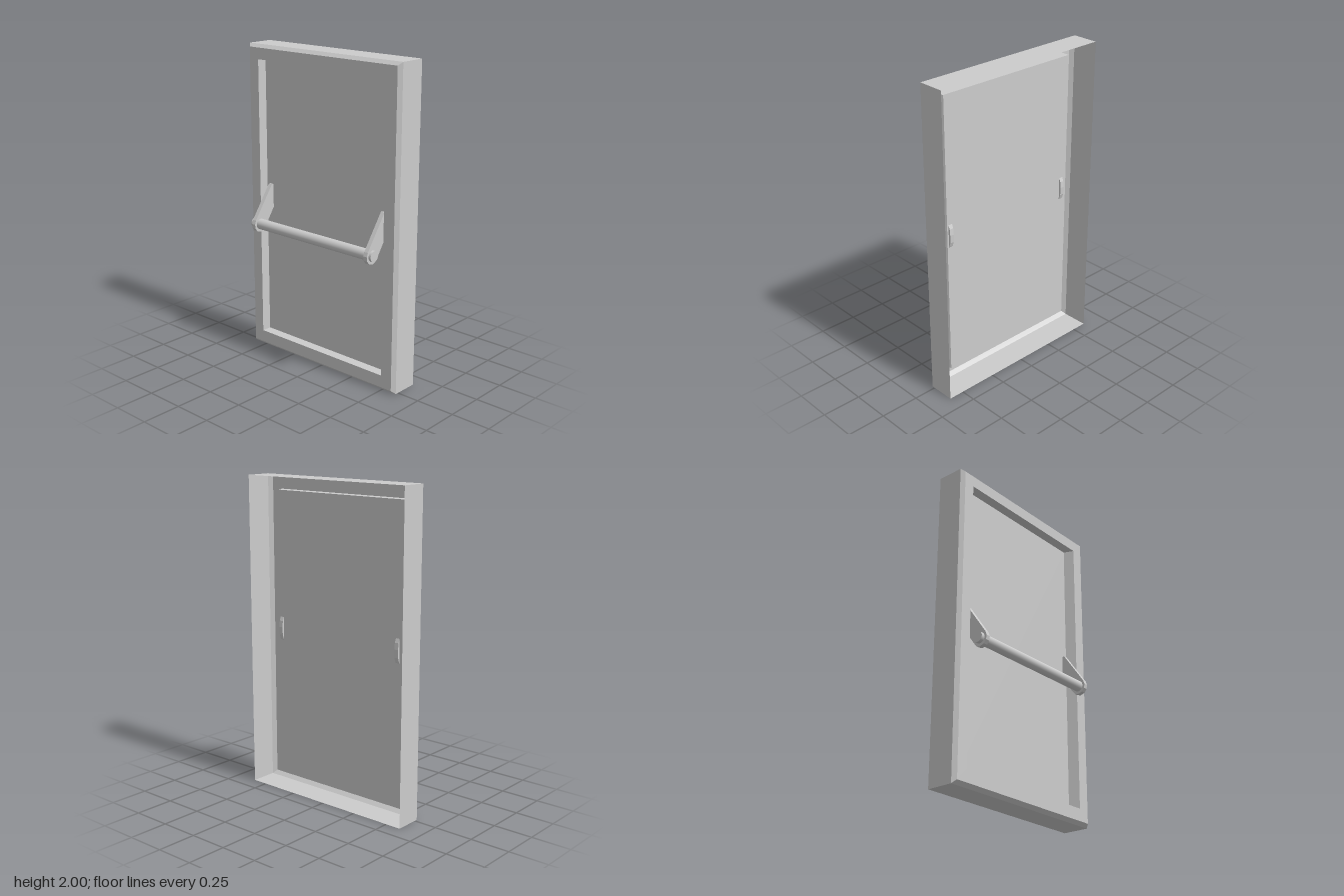
import * as THREE from 'three';

// Skin a list of rectangular loops [x0, x1, y0, y1, z] and cap the last one
function skinRectangles(rects) {
  const loops = rects.map(([x0, x1, y0, y1, z]) =>
    [[x0, y0, z], [x1, y0, z], [x1, y1, z], [x0, y1, z]]);
  const pos = [];
  const quad = (a, b, c, d) => pos.push(...a, ...b, ...c, ...a, ...c, ...d);
  for (let i = 0; i < loops.length - 1; i++) {
    for (let k = 0; k < 4; k++) {
      const n = (k + 1) % 4;
      quad(loops[i][k], loops[i][n], loops[i + 1][n], loops[i + 1][k]);
    }
  }
  quad(...loops[loops.length - 1]);
  const geo = new THREE.BufferGeometry();
  geo.setAttribute('position', new THREE.Float32BufferAttribute(pos, 3));
  geo.computeVertexNormals();
  return geo;
}

export function createModel() {
  const group = new THREE.Group();
  const metal = new THREE.MeshStandardMaterial({ color: 0xcccccc });
  const sheet = new THREE.MeshStandardMaterial({ color: 0xcccccc, side: THREE.DoubleSide });

  // Hollow door shell: side walls, bevel, front border, reveal, sunken panel
  const door = new THREE.Mesh(skinRectangles([
    [-0.6, 0.6, 0, 2, -0.15],
    [-0.6, 0.6, 0, 2, 0.02],
    [-0.58, 0.58, 0.022, 1.98, 0.044],
    [-0.508, 0.503, 0.1, 1.908, 0.044],
    [-0.508, 0.478, 0.1, 1.908, -0.02],
  ]), sheet);
  door.name = 'doorShell';
  group.add(door);

  // Push bar
  const barLeft = -0.505, barRight = 0.483;
  const barGeo = new THREE.CylinderGeometry(0.034, 0.034, barRight - barLeft, 24);
  barGeo.rotateZ(Math.PI / 2);
  const bar = new THREE.Mesh(barGeo, metal);
  bar.name = 'pushBar';
  bar.position.set((barLeft + barRight) / 2, 0.87, 0.1);
  group.add(bar);

  // Bracket profile in (z, y): faceted head, arm sloping up through the panel
  const profile = [
    [0.141, 0.9], [0.15, 0.875], [0.146, 0.848], [0.13, 0.827], [0.098, 0.817],
    [0.073, 0.826], [0.05, 0.854], [-0.022, 0.96], [-0.032, 0.99],
    [-0.034, 1.04], [-0.03, 1.08], [-0.018, 1.11], [-0.006, 1.11],
  ].map(([z, y]) => new THREE.Vector2(z, y));
  const width = 0.027;
  const bracketGeo = new THREE.ExtrudeGeometry(new THREE.Shape(profile), { depth: width, bevelEnabled: false });
  bracketGeo.translate(0, 0, -width / 2);
  bracketGeo.rotateY(-Math.PI / 2);
  for (const [name, x] of [['rightBracket', -0.469], ['leftBracket', 0.454]]) {
    const bracket = new THREE.Mesh(bracketGeo, metal);
    bracket.name = name;
    bracket.position.x = x;
    group.add(bracket);
  }
  return group;
}
